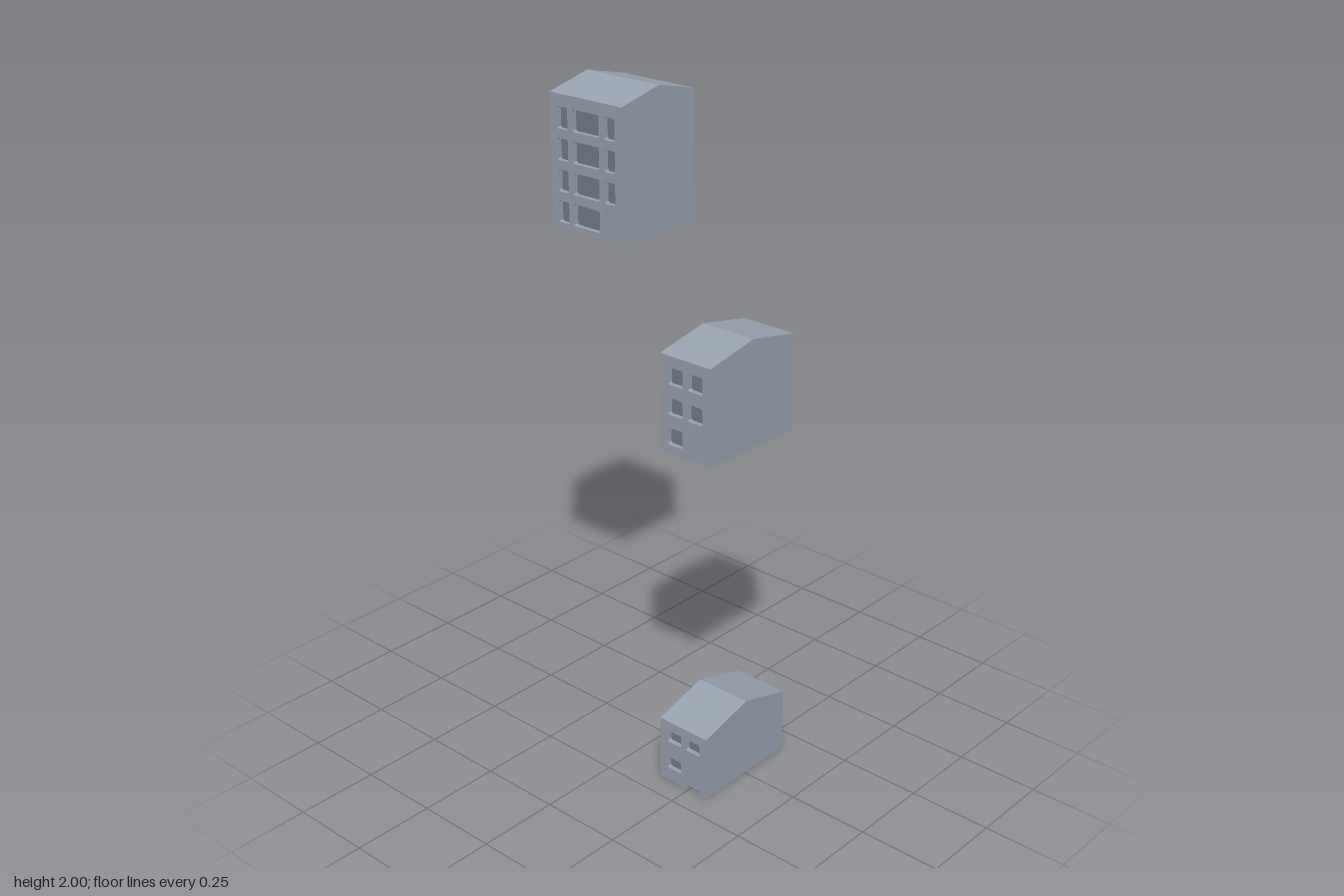
import * as THREE from 'three';

const RECESS = 0.016; // depth of windows and doors
const CHAMFER = 0.004; // cut corners of the openings
const wallMaterial = new THREE.MeshStandardMaterial({ color: 0x99a3b1 });
const paneMaterial = new THREE.MeshStandardMaterial({ color: 0x747d8a });

const polygon = (points) => points.map(([x, y]) => new THREE.Vector2(x, y));

// Window outline with four cut corners
function windowOutline([x0, x1], [y0, y1]) {
  const c = CHAMFER;
  return polygon([
    [x0 + c, y0], [x1 - c, y0], [x1, y0 + c], [x1, y1 - c],
    [x1 - c, y1], [x0 + c, y1], [x0, y1 - c], [x0, y0 + c],
  ]);
}

function makeHouse({ name, x, y, eave, ridge, z, columns, rows, door }) {
  const house = new THREE.Group();
  house.name = name;
  const [x0, x1] = x, [z0, z1] = z, zWall = z1 - RECESS;

  const addPart = (partName, geometry, material) => {
    const mesh = new THREE.Mesh(geometry, material);
    mesh.name = partName;
    house.add(mesh);
  };

  // Gabled block, set back below the front eave to take the facade
  const profile = new THREE.Shape(polygon([
    [z0, y], [zWall, y], [zWall, eave], [z1, eave], [(z0 + z1) / 2, ridge], [z0, eave],
  ]));
  const body = new THREE.ExtrudeGeometry(profile, { depth: x1 - x0, bevelEnabled: false });
  addPart('gabledBody', body.rotateY(-Math.PI / 2).translate(x1, 0, 0), wallMaterial);

  // Facade with a doorway notch at the bottom and window holes
  const [d0, d1] = columns[columns.length - 1], c = CHAMFER;
  const wall = new THREE.Shape(polygon([
    [x0, y], [d0, y], [d0, door - c], [d0 + c, door], [d1 - c, door], [d1, door - c], [d1, y],
    [x1, y], [x1, eave], [x0, eave],
  ]));
  rows.forEach((row, i) => {
    columns.forEach((column, j) => {
      if (i === 0 && j === columns.length - 1) return; // the door stands here
      const outline = windowOutline(column, row);
      wall.holes.push(new THREE.Path(outline));
      // Dark pane just in front of the recess bottom
      const pane = new THREE.ShapeGeometry(new THREE.Shape(outline));
      addPart('windowPane', pane.translate(0, 0, zWall + 0.001), paneMaterial);
    });
  });
  const facade = new THREE.ExtrudeGeometry(wall, { depth: RECESS, bevelEnabled: false });
  addPart('facade', facade.translate(0, 0, zWall), wallMaterial);
  return house;
}

export function createModel() {
  const model = new THREE.Group();
  model.name = 'houses';
  const narrow = { x: [0.139, 0.316], z: [-0.176, 0.176], columns: [[0.168, 0.22], [0.239, 0.29]] };

  model.add(
    makeHouse({
      name: 'fourStoreyHouse', x: [-0.316, -0.051], z: [-0.176, 0.116],
      y: 1.588, eave: 1.966, ridge: 2,
      columns: [[-0.29, -0.251], [-0.232, -0.134], [-0.115, -0.076]],
      rows: [0, 1, 2, 3].map((i) => [1.605 + i * 0.088, 1.667 + i * 0.088]),
      door: 1.667,
    }),
    makeHouse({
      ...narrow, name: 'threeStoreyHouse', y: 1.06, eave: 1.347, ridge: 1.381,
      rows: [0, 1, 2].map((i) => [1.088 + i * 0.088, 1.138 + i * 0.088]),
      door: 1.138,
    }),
    makeHouse({
      ...narrow, name: 'twoStoreyHouse', y: 0, eave: 0.201, ridge: 0.249,
      rows: [[0.041, 0.079], [0.132, 0.17]],
      door: 0.079,
    }),
  );
  return model;
}
